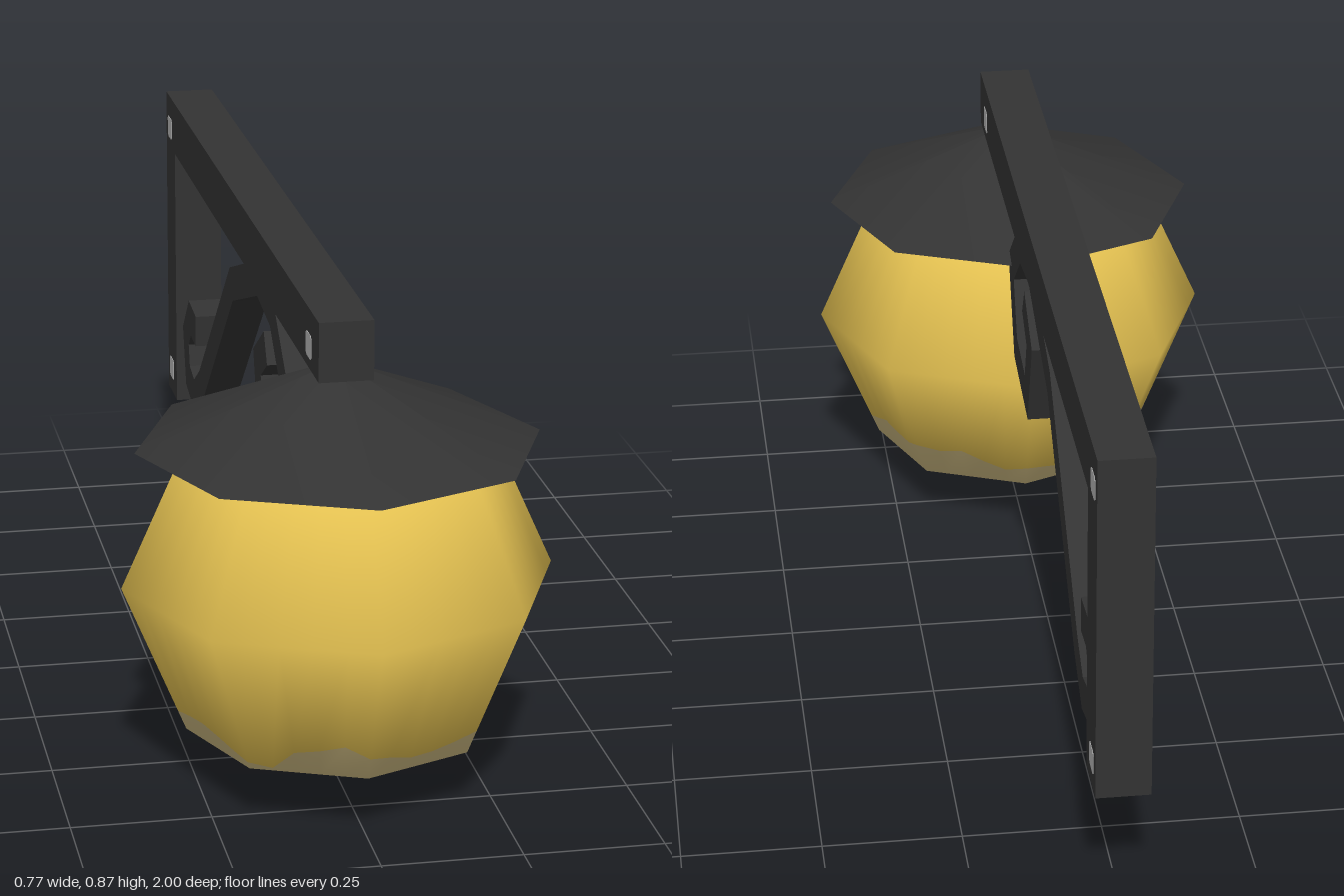
import * as THREE from 'three';

const mat = (name, color) => {
  const m = new THREE.MeshStandardMaterial({ color });
  m.name = name;
  return m;
};

// Extrude a [z, y] outline across x, centred on x = 0
const sideExtrude = (points, width) => {
  const g = new THREE.ExtrudeGeometry(new THREE.Shape(points), { depth: width, bevelEnabled: false });
  g.translate(0, 0, -width / 2);
  g.rotateY(-Math.PI / 2);
  return g;
};
const vectors = (list) => list.map(([z, y]) => new THREE.Vector2(z, y));

export function createModel() {
  const iron = mat('dark iron', 0x333333);
  const glass = mat('amber glass', 0xe6c352);
  const dust = mat('dusty glass', 0xd2be84);
  const steel = mat('rivet steel', 0xb4b4b4);

  const model = new THREE.Group();
  model.name = 'wallLantern';
  const add = (name, geometry, material, x = 0, y = 0, z = 0, parent = model) => {
    const mesh = new THREE.Mesh(geometry, material);
    mesh.name = name;
    mesh.position.set(x, y, z);
    parent.add(mesh);
    return mesh;
  };

  // Bracket: horizontal beam and wall post in one piece
  const W = 0.097, X = -0.001;
  add('bracket', sideExtrude(vectors([[-1, 0.225], [-0.891, 0.225], [-0.891, 0.767],
    [0.683, 0.767], [0.683, 0.875], [-1, 0.875]]), W), iron, X);

  // Chamfered rivets, almost flush, on both sides of the bracket
  const a = 0.025, b = 0.022, k = 0.017;
  const rivetGeo = sideExtrude(vectors([[a, -k], [a, k], [k, b], [-k, b],
    [-a, k], [-a, -k], [-k, -b], [k, -b]]), 0.004);
  for (const [y, z] of [[0.808, 0.593], [0.808, -0.953], [0.278, -0.953]])
    for (const s of [-1, 1]) add('rivet', rivetGeo, steel, X + s * (W / 2 - 0.001), y, z);

  // Scroll brace: a mitred strip along a [z, y] path
  const path = vectors([[0.09, 0.645], [0, 0.59], [0.047, 0.462], [0.212, 0.488], [0.28, 0.63],
    [0.15, 0.735], [0, 0.755], [-0.285, 0.66], [-0.66, 0.33], [-0.745, 0.28],
    [-0.83, 0.30], [-0.855, 0.38], [-0.80, 0.435], [-0.725, 0.428]]);
  const half = 0.033;
  const normal = (p, q) => {
    const d = q.clone().sub(p).normalize();
    return new THREE.Vector2(-d.y, d.x);
  };
  const edge = (side) => path.map((p, i) => {
    const last = path.length - 1;
    const n0 = normal(path[Math.max(i - 1, 0)], path[Math.max(i, 1)]);
    const n1 = normal(path[Math.min(i, last - 1)], path[Math.min(i + 1, last)]);
    const m = n0.clone().add(n1).normalize();
    return p.clone().addScaledVector(m, side * half / m.dot(n0));
  });
  add('scrollBrace', sideExtrude([...edge(1), ...edge(-1).reverse()], 0.07), iron);

  // Lantern: eight-sided globe under a shallow closed cap
  const lantern = new THREE.Group();
  lantern.name = 'lantern';
  lantern.position.set(0, 0, 0.615);
  model.add(lantern);
  const R = 0.386, CY = 0.388;
  add('cap', new THREE.ConeGeometry(0.36, 0.15, 8), iron, 0, 0.711, 0, lantern);

  // Smooth ring of the globe between two latitudes; low and high give the
  // fraction of the ring covered at each column
  const cols = 5, count = 8 * cols;
  const corner = (side, lat) => new THREE.Vector3(
    Math.cos(lat) * Math.sin(side * Math.PI / 4), Math.sin(lat),
    Math.cos(lat) * Math.cos(side * Math.PI / 4));
  const ring = (lat0, lat1, low = () => 0, high = () => 1) => {
    const pos = [], nor = [], index = [];
    for (let i = 0; i <= count; i++) {
      const side = Math.floor(i / cols), u = (i % cols) / cols;
      const bottom = corner(side, lat0).lerp(corner(side + 1, lat0), u);
      const top = corner(side, lat1).lerp(corner(side + 1, lat1), u);
      for (const t of [low(i), high(i)]) {
        const p = bottom.clone().lerp(top, t);
        pos.push(p.x * R, p.y * R, p.z * R);
        p.normalize();
        nor.push(p.x, p.y, p.z);
      }
      if (i < count) {
        const q = i * 2;
        index.push(q, q + 2, q + 3, q, q + 3, q + 1);
      }
    }
    const g = new THREE.BufferGeometry();
    g.setAttribute('position', new THREE.Float32BufferAttribute(pos, 3));
    g.setAttribute('normal', new THREE.Float32BufferAttribute(nor, 3));
    g.setIndex(index);
    return g;
  };

  // Ragged dust line on the lower side panels, one row per quarter turn
  const heights = [
    0.16, 0.13, 0.085, 0.09, 0.12, 0.165, 0.16, 0.22, 0.24, 0.12,
    0.13, 0.18, 0.24, 0.21, 0.20, 0.26, 0.23, 0.26, 0.18, 0.12,
    0.16, 0.13, 0.10, 0.13, 0.16, 0.19, 0.15, 0.20, 0.14, 0.12,
    0.13, 0.15, 0.155, 0.12, 0.08, 0.05, 0.02, 0.16, 0.19, 0.24];
  const ragged = (i) => heights[i % count];
  const Q = Math.PI / 4;
  add('globeBase', ring(-2 * Q, -Q), dust, 0, CY, 0, lantern);
  add('dustBand', ring(-Q, 0, undefined, ragged), dust, 0, CY, 0, lantern);
  add('globeSide', ring(-Q, 0, ragged), glass, 0, CY, 0, lantern);
  // Upper panels are slightly shorter and end inside the cap
  add('globeShoulder', ring(0, Q), glass, 0, CY, 0, lantern).scale.y = 0.925;

  return model;
}
